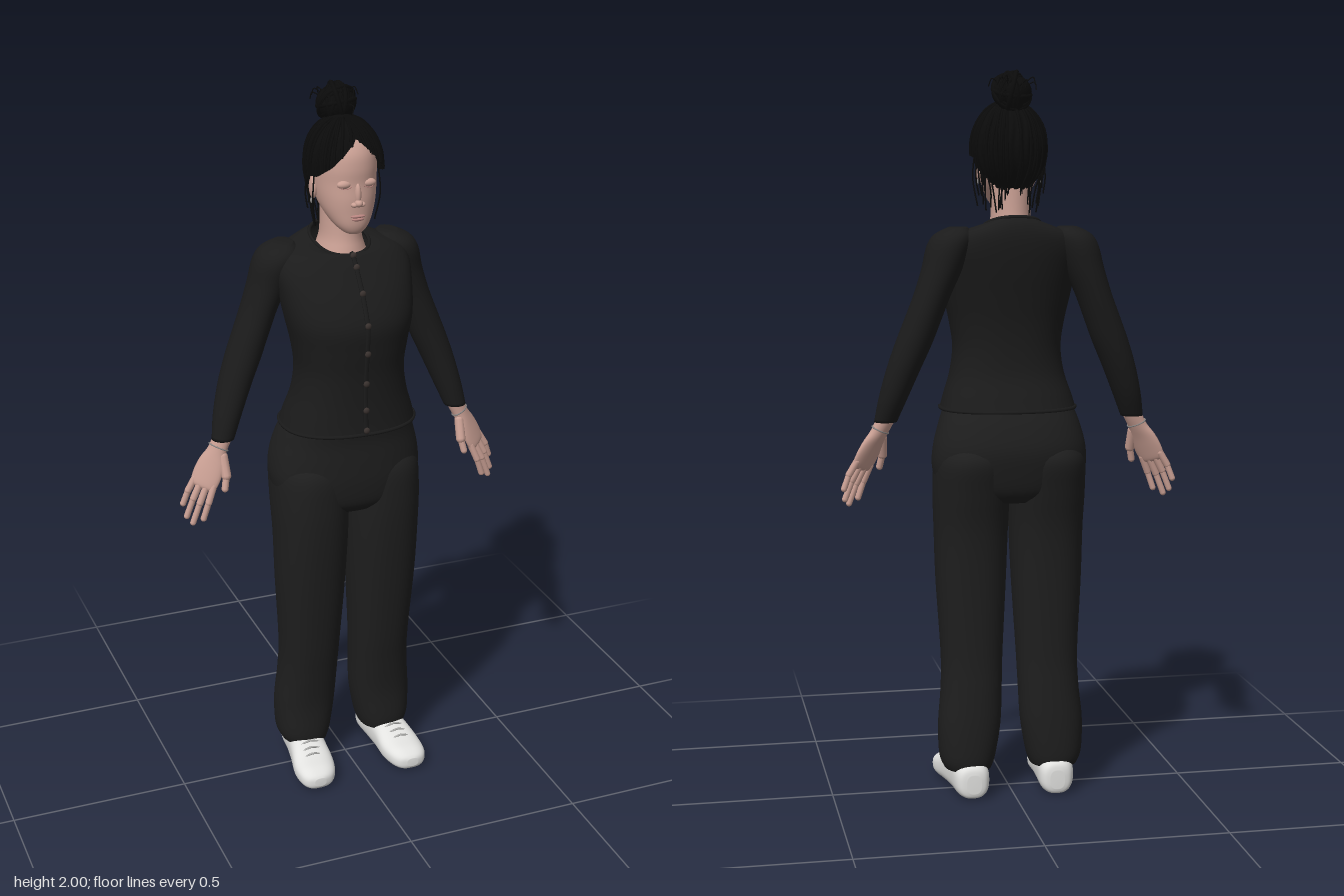
import * as THREE from 'three';

const mat = (name, color, side = THREE.FrontSide) => {
  const m = new THREE.MeshStandardMaterial({ color, side });
  m.name = name;
  return m;
};

// Catmull-Rom blend of number rows
function smoothRows(rows, sub) {
  const out = [], at = i => rows[Math.min(Math.max(i, 0), rows.length - 1)];
  for (let i = 0; i < rows.length - 1; i++) {
    for (let k = 0; k < sub; k++) {
      const t = k / sub;
      out.push(rows[i].map((b, c) => {
        const a = at(i - 1)[c], d = at(i + 1)[c], e = at(i + 2)[c];
        return b + 0.5 * t * (d - a + t * (2 * a - 5 * b + 4 * d - e + t * (3 * (b - d) + e - a)));
      }));
    }
  }
  out.push(rows[rows.length - 1]);
  return out;
}

// Point on a section row: [y, centre x, half width, front z, back z, tilt]
function ringPoint([y, cx, rx, f, b, tilt = 0], a, n) {
  const c = Math.cos(a), s = Math.sin(a), p = 2 / n;
  return [cx + rx * Math.sign(c) * Math.abs(c) ** p, y + tilt * s,
    (f + b) / 2 + (f - b) / 2 * Math.sign(s) * Math.abs(s) ** p];
}

// Closed skin over sections listed from bottom to top
function loft(rows, { n = 2, seg = 40, sub = 5, capTop = true } = {}) {
  const rings = smoothRows(rows, sub), pos = [], idx = [], last = rings.length - 1;
  rings.forEach(r => {
    for (let j = 0; j < seg; j++) pos.push(...ringPoint(r, j / seg * Math.PI * 2, n));
  });
  for (let i = 0; i < last; i++) for (let j = 0; j < seg; j++) {
    const a = i * seg + j, c = i * seg + (j + 1) % seg;
    idx.push(a, a + seg, c, a + seg, c + seg, c);
  }
  [0, last].forEach(i => {
    if (i && !capTop) return;
    const r = rings[i], centre = pos.length / 3;
    pos.push(r[1], r[0], (r[3] + r[4]) / 2);
    for (let j = 0; j < seg; j++) {
      const a = i * seg + j, c = i * seg + (j + 1) % seg;
      i ? idx.push(centre, c, a) : idx.push(centre, a, c);
    }
  });
  const g = new THREE.BufferGeometry();
  g.setAttribute('position', new THREE.Float32BufferAttribute(pos, 3));
  g.setIndex(idx);
  g.computeVertexNormals();
  return g;
}

const V = (x, y, z) => new THREE.Vector3(x, y, z);
const tube = (pts, r, closed = false, seg = 14) =>
  new THREE.TubeGeometry(new THREE.CatmullRomCurve3(pts, closed), seg, r, 5, closed);

export function createModel() {
  const top = mat('blackKnit', 0x1b1b1b, THREE.DoubleSide), trouser = mat('blackCloth', 0x1e1e1e);
  const hair = mat('hairBlack', 0x0b0b0b, THREE.DoubleSide), skin = mat('skin', 0xcaa094);
  const lip = mat('lip', 0xb98580), shoe = mat('shoeWhite', 0xe2e2e0), lace = mat('laceGrey', 0xb4b4b2);
  const button = mat('buttonBrown', 0x3a322f), silver = mat('silver', 0x8a8786);
  const model = new THREE.Group();
  const add = (name, geo, material, parent = model, p = [0, 0, 0], s = [1, 1, 1]) => {
    const m = new THREE.Mesh(geo, material);
    m.name = name;
    m.position.set(...p);
    m.scale.set(...s);
    parent.add(m);
    return m;
  };
  const ball = (name, material, p, s) => add(name, new THREE.SphereGeometry(1, 20, 14), material, model, p, s);
  let seed = 7;
  const rnd = () => (seed = (seed * 16807) % 2147483647) / 2147483647;

  // Cardigan body
  const body = [
    [1.085, 0, .187, .155, -.135, 0], [1.12, 0, .177, .152, -.123, 0], [1.18, 0, .158, .15, -.104, 0],
    [1.25, 0, .149, .152, -.1, 0], [1.32, 0, .158, .16, -.106, 0], [1.39, 0, .173, .163, -.12, 0],
    [1.46, 0, .183, .132, -.136, 0], [1.52, 0, .187, .09, -.147, 0], [1.558, 0, .165, .062, -.15, -.004],
    [1.578, 0, .115, .05, -.144, -.014], [1.584, 0, .076, .044, -.13, -.026],
  ];
  add('cardigan', loft(body, { n: 2.35, seg: 56, capTop: false }), top);
  const bodyFine = smoothRows(body, 8);
  const edge = row => Array.from({ length: 40 }, (_, j) => V(...ringPoint(row, j / 40 * Math.PI * 2, 2.35)));
  add('hemTrim', tube(edge(body[0]), .005, true, 100), top);
  add('necklineTrim', tube(edge(body[10]), .005, true, 80), top);
  const frontLine = bodyFine.map(r => V(0, r[0] + (r[5] || 0), r[3] + .001));
  add('placket', tube(frontLine, .007, false, 60), top);
  for (let i = 0; i < 8; i++) {
    const p = frontLine[Math.round(4 + i * 9.2)];
    add('button', new THREE.SphereGeometry(.009, 10, 8), button, model, [0, p.y, p.z + .006], [1, 1, .6]);
  }

  // Trouser seat
  add('trouserSeat', loft([
    [.83, 0, .1, .09, -.1], [.86, 0, .19, .113, -.13], [.92, 0, .213, .122, -.148], [.98, 0, .211, .122, -.156],
    [1.04, 0, .196, .12, -.143], [1.09, 0, .178, .125, -.123], [1.13, 0, .16, .12, -.105],
  ], { n: 2.4, seg: 48 }), trouser);

  for (const s of [1, -1]) {
    const side = s > 0 ? 'left' : 'right';

    // Trouser leg
    add(side + 'TrouserLeg', loft([
      [.075, s * .122, .066, .045, -.105], [.11, s * .123, .078, .05, -.112], [.2, s * .117, .087, .047, -.111],
      [.3, s * .11, .085, .058, -.105], [.4, s * .107, .086, .073, -.1], [.6, s * .107, .097, .098, -.103],
      [.75, s * .106, .102, .114, -.113], [.86, s * .106, .105, .12, -.136], [.95, s * .105, .1, .115, -.153],
      [1.0, s * .1, .07, .08, -.12],
    ], { n: 2.3 }), trouser);

    // Shoe, lofted from heel to toe
    const shoeGeo = loft([
      [-.122, s * .118, .02, .022, -.03], [-.115, s * .119, .038, .036, -.05], [-.09, s * .12, .049, .04, -.062],
      [-.03, s * .124, .051, .04, -.066], [.04, s * .131, .055, .04, -.056], [.1, s * .137, .06, .04, -.032],
      [.145, s * .141, .053, .04, -.022], [.168, s * .143, .038, .036, -.01], [.177, s * .144, .016, .025, 0],
    ], { n: 2.6 });
    shoeGeo.rotateX(Math.PI / 2);
    shoeGeo.translate(0, .04, 0);
    add(side + 'Shoe', shoeGeo, shoe);
    for (let k = 0; k < 3; k++) {
      const z = .055 + k * .02, y = .095 - k * .009, x = s * (.132 + k * .003);
      add(side + 'Lace', tube([V(x - .028, y - .01, z), V(x, y, z + .003), V(x + .028, y - .01, z)], .003), lace);
    }

    // Sleeve
    add(side + 'Sleeve', loft([
      [1.055, s * .345, .031, .002, -.06], [1.12, s * .326, .039, 0, -.087], [1.2, s * .299, .046, -.006, -.108],
      [1.27, s * .272, .05, -.01, -.12], [1.33, s * .249, .05, -.012, -.127], [1.4, s * .222, .05, -.012, -.134],
      [1.47, s * .195, .055, -.006, -.14], [1.53, s * .175, .06, .004, -.142], [1.562, s * .162, .052, -.005, -.132],
      [1.582, s * .15, .025, -.035, -.105],
    ], { seg: 32 }), top);

    // Hand with wrist, fingers and thumb
    const hand = new THREE.Group();
    hand.name = side + 'Hand';
    hand.position.set(s * .346, 1.06, -.03);
    hand.rotation.set(-.12, s * .7, s * .38, 'ZYX');
    model.add(hand);
    add('palm', loft([
      [-.152, 0, .028, .007, -.007], [-.142, 0, .038, .012, -.011], [-.11, 0, .041, .015, -.013],
      [-.075, 0, .037, .017, -.015], [-.04, 0, .027, .019, -.019], [0, 0, .026, .022, -.022], [.04, 0, .026, .022, -.022],
    ], { seg: 24 }), skin, hand);
    const digit = (name, p, q, r) => {
      const d = q.clone().sub(p);
      const m = add(name, new THREE.CapsuleGeometry(r, d.length(), 5, 10), skin, hand);
      m.position.copy(p).addScaledVector(d, .5);
      m.quaternion.setFromUnitVectors(V(0, 1, 0), d.normalize());
    };
    [-.23, -.252, -.243, -.215].forEach((tip, k) => {
      const x = s * (-.029 + k * .0195);
      digit('finger', V(x, -.135, 0), V(x * 1.15, (tip - .135) / 2, 0), .0098);
      digit('fingertip', V(x * 1.15, (tip - .135) / 2, 0), V(x * 1.2, tip, -.008), .0085);
    });
    digit('thumbBase', V(s * -.022, -.05, 0), V(s * -.05, -.095, -.004), .0135);
    digit('thumbTip', V(s * -.05, -.095, -.004), V(s * -.06, -.13, -.006), .0095);
    const band = add('bracelet', new THREE.TorusGeometry(.0265, .002, 6, 28), silver, hand, [0, -.03, 0], [1.05, .8, 1]);
    band.rotation.x = Math.PI / 2;

    // Ear, earring and closed eye
    ball(side + 'Ear', skin, [s * .083, 1.735, -.018], [.01, .03, .018]);
    ball(side + 'Earring', silver, [s * .088, 1.7, -.016], [.004, .008, .004]);
    ball(side + 'Eyelid', skin, [s * .034, 1.762, .081], [.02, .011, .012]);
    add(side + 'LashLine', tube([V(s * .017, 1.757, .092), V(s * .033, 1.752, .0935), V(s * .051, 1.757, .083)], .0013), lip);
    ball(side + 'Nostril', skin, [s * .011, 1.709, .094], [.009, .007, .01]);
  }

  // Neck and head
  add('neck', loft([
    [1.5, 0, .08, .04, -.11], [1.54, 0, .075, .048, -.12], [1.57, 0, .063, .042, -.115],
    [1.61, 0, .054, .034, -.105], [1.7, 0, .054, .03, -.1],
  ], { seg: 32 }), skin);
  add('head', loft([
    [1.624, 0, .016, .075, .045], [1.632, 0, .031, .085, .02], [1.652, 0, .05, .092, -.02], [1.685, 0, .068, .094, -.07],
    [1.72, 0, .078, .095, -.105], [1.76, 0, .083, .092, -.125], [1.8, 0, .084, .093, -.13], [1.84, 0, .078, .085, -.125],
    [1.875, 0, .058, .058, -.1], [1.89, 0, .025, .02, -.06],
  ], { n: 2.15 }), skin);
  ball('noseBridge', skin, [0, 1.735, .09], [.009, .03, .013]);
  ball('noseTip', skin, [0, 1.713, .097], [.011, .01, .013]);
  ball('upperLip', lip, [0, 1.677, .0925], [.021, .0045, .007]);
  ball('lowerLip', lip, [0, 1.669, .092], [.017, .005, .007]);

  // Hair cap with a swept hairline
  const line = [[0, 1.878], [.35, 1.848], [.75, 1.805], [1.15, 1.775], [1.6, 1.765], [1.95, 1.72], [2.4, 1.685], [3.15, 1.675]];
  const hairline = a => {
    const k = Math.max(1, line.findIndex(p => p[0] >= a)), [a0, y0] = line[k - 1], [a1, y1] = line[k];
    return y0 + (y1 - y0) * (a - a0) / (a1 - a0);
  };
  const C = V(.003, 1.79, -.025);
  const hairPoint = (a, t, lift = 0) => {
    const end = Math.acos(Math.max(-.95, (hairline(Math.abs(a)) - C.y) / .128)), p = t * end;
    const k = 1 + lift + .018 * Math.sin(a * 26 + Math.sin(p * 5)) * Math.min(1, p);
    return V(C.x + .1 * k * Math.sin(p) * Math.sin(a), C.y + .128 * Math.cos(p), C.z + .133 * k * Math.sin(p) * Math.cos(a));
  };
  const capGeo = new THREE.PlaneGeometry(1, 1, 160, 24), cp = capGeo.attributes.position;
  for (let i = 0; i < cp.count; i++) {
    const q = hairPoint(cp.getX(i) * 2 * Math.PI, .5 - cp.getY(i));
    cp.setXYZ(i, q.x, q.y, q.z);
  }
  capGeo.computeVertexNormals();
  add('hairCap', capGeo, hair);

  // Loose locks over the cap
  for (let i = 0; i < 60; i++) {
    const a = (rnd() * 2 - 1) * 3.1, drift = (rnd() - .5) * .3, pts = [];
    for (let k = 0; k <= 6; k++) {
      const b = Math.max(-3.14, Math.min(3.14, a + drift * k / 6));
      pts.push(hairPoint(b, .15 + .84 * k / 6, .015));
    }
    add('hairLock', tube(pts, .003 + rnd() * .002), hair);
  }

  // Wisps at the nape and in front of the ears
  for (let i = 0; i < 34; i++) {
    const a = (rnd() < .5 ? -1 : 1) * (1.75 + rnd() * 1.4), p = hairPoint(a, .96), drop = .04 + rnd() * .06;
    const q = V(p.x * (.75 + rnd() * .25), p.y - drop, p.z * .8 - .012 + rnd() * .02);
    add('wisp', tube([p, p.clone().lerp(q, .5).add(V((rnd() - .5) * .012, 0, -.004)), q], .0022), hair);
  }
  for (const s of [1, -1]) add('sideWisp', tube([V(s * .09, 1.78, .01), V(s * .095, 1.71, .012), V(s * .084, 1.635, 0)], .0022), hair);

  // Bun of coiled strands
  const bun = V(.006, 1.938, -.08);
  ball('bunCore', hair, bun.toArray(), [.054, .046, .054]);
  for (let i = 0; i < 22; i++) {
    const ring = add('bunCoil', new THREE.TorusGeometry(.042 + rnd() * .012, .007, 6, 28), hair, model, bun.toArray());
    ring.rotation.set(rnd() * 3.1, rnd() * 3.1, 0);
  }
  for (let i = 0; i < 14; i++) {
    const a = rnd() * 6.28, u = rnd() * .9, d = V(Math.cos(a), u, Math.sin(a)).normalize();
    const p = bun.clone().addScaledVector(d, .045), q = bun.clone().addScaledVector(d, .062 + rnd() * .014);
    q.y = Math.min(q.y, 1.998);
    add('bunFlyaway', tube([p, q, V(q.x + .012 * Math.cos(a + 1), q.y - .02, q.z + .012 * Math.sin(a + 1))], .0016), hair);
  }
  return model;
}
